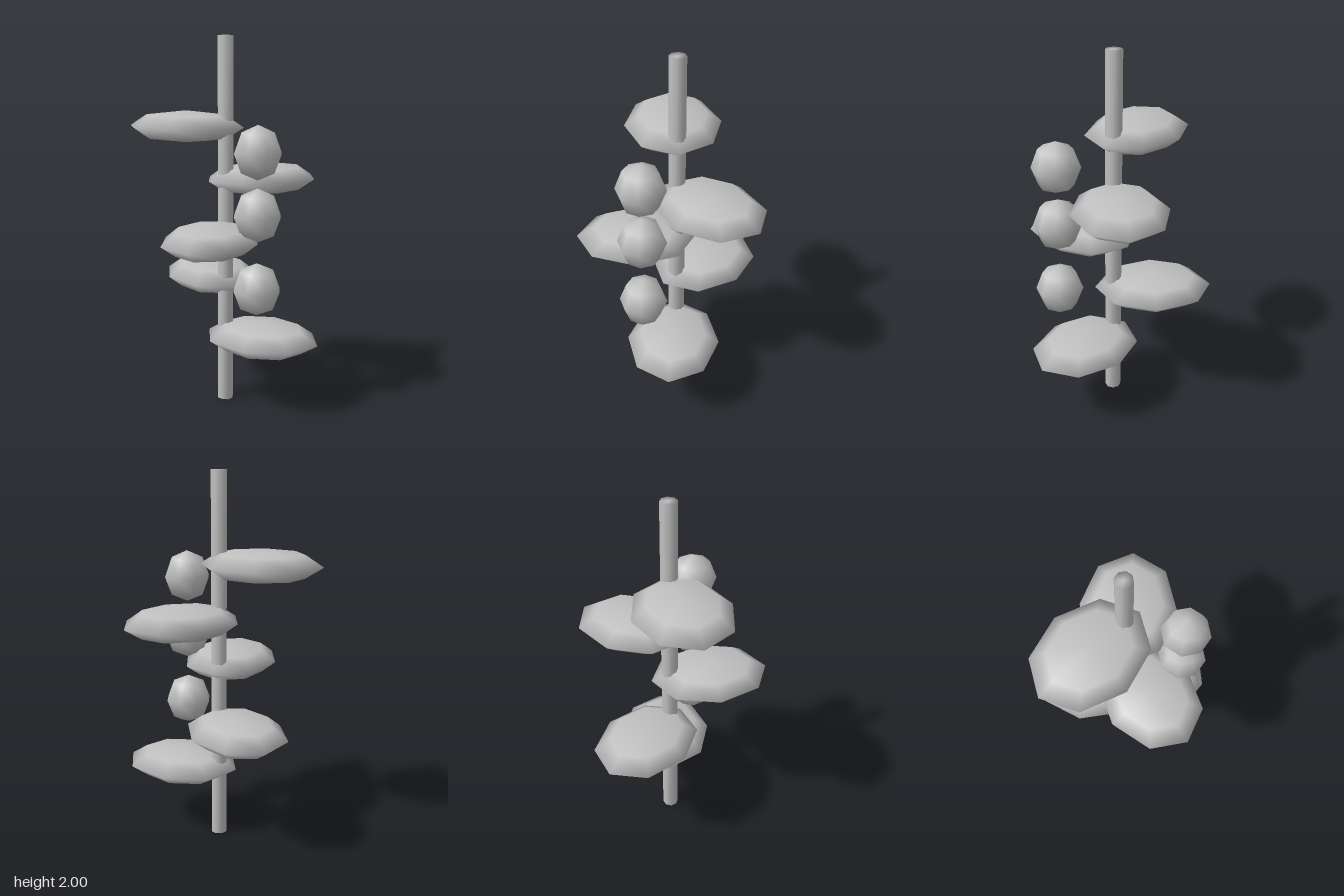
import * as THREE from 'three';
import { mergeVertices } from 'three/addons/utils/BufferGeometryUtils.js';

export function createModel() {
  const model = new THREE.Group();
  const grey = new THREE.MeshStandardMaterial({ color: 0xc0c0c0 });
  grey.name = 'plain grey';

  const add = (name, geometry, x, y, z) => {
    const mesh = new THREE.Mesh(geometry, grey);
    mesh.name = name;
    mesh.position.set(x, y, z);
    model.add(mesh);
    return mesh;
  };

  const stemX = -0.005, stemZ = -0.04;

  // Eight-sided stem, shaded smoothly over its ends
  let stem = new THREE.CylinderGeometry(0.044, 0.044, 2, 8);
  stem.deleteAttribute('normal');
  stem.deleteAttribute('uv');
  stem = mergeVertices(stem);
  stem.computeVertexNormals();
  add('stem', stem, stemX, 1, stemZ);

  // Flattened leaves spiralling up the stem by the golden angle
  const ball = new THREE.SphereGeometry(1, 8, 4);
  for (let i = 0; i < 5; i++) {
    const angle = i * 2.4;
    const leaf = add('leaf' + (i + 1), ball,
      stemX + 0.22 * Math.cos(angle), 0.39 + i * 0.284, stemZ - 0.22 * Math.sin(angle));
    leaf.scale.set(0.32, 0.085, 0.255);
    leaf.rotation.y = angle;
  }

  // Berries in a column beside the stem
  [0.71, 1.1, 1.42].forEach((y, i) => {
    add('berry' + (i + 1), ball, 0.25, y, 0.118).scale.set(0.128, 0.14, 0.128);
  });

  return model;
}
